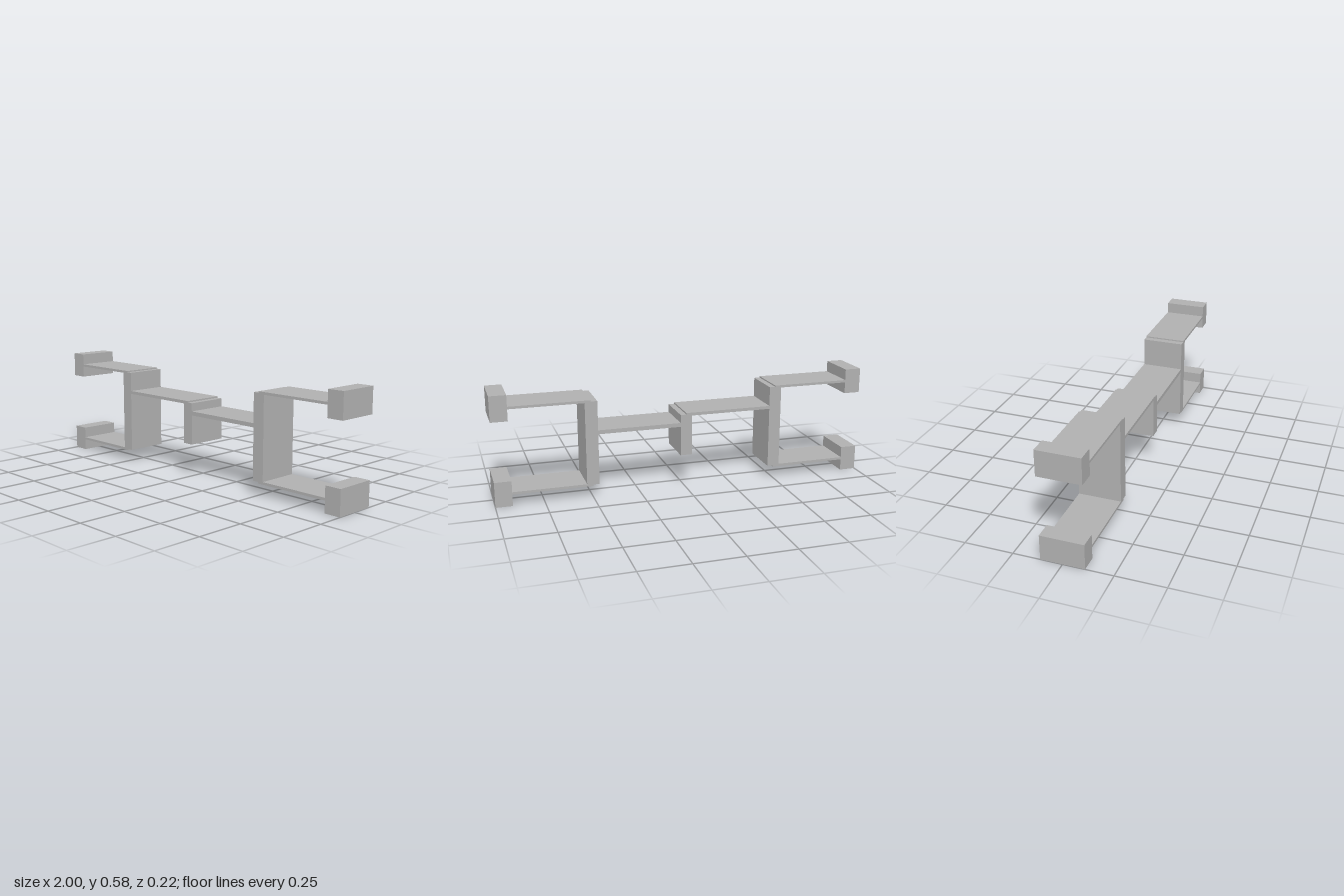
import * as THREE from 'three';

const DEPTH = 0.222;

export function createModel() {
  const group = new THREE.Group();
  const grey = new THREE.MeshStandardMaterial({ color: 0xb0b0b0 });
  grey.name = 'grey';

  // Box spanning x0..x1 and y0..y1 over the full depth
  const slab = (name, x0, x1, y0, y1) => {
    const mesh = new THREE.Mesh(new THREE.BoxGeometry(x1 - x0, y1 - y0, DEPTH), grey);
    mesh.position.set((x0 + x1) / 2, (y0 + y1) / 2, 0);
    mesh.name = name;
    group.add(mesh);
  };

  // Upper and lower arms with end blocks on both sides
  for (const [level, y] of [['lower', 0], ['upper', 0.445]]) {
    slab(level + 'RightEndBlock', -1, -0.913, y, y + 0.133);
    slab(level + 'LeftEndBlock', 0.913, 1, y, y + 0.133);
    slab(level + 'RightArm', -0.913, -0.5, y + 0.061, y + 0.074);
    slab(level + 'LeftArm', 0.5, 0.913, y + 0.061, y + 0.074);
  }

  // Upright posts
  slab('rightPost', -0.534, -0.469, 0.069, 0.512);
  slab('leftPost', 0.466, 0.531, 0.069, 0.512);

  // Stepped crossbars meeting at the central post
  slab('rightCrossbar', -0.469, -0.003, 0.393, 0.409);
  slab('leftCrossbar', 0.028, 0.466, 0.337, 0.358);
  slab('centralPost', -0.033, 0.028, 0.18, 0.401);

  return group;
}
